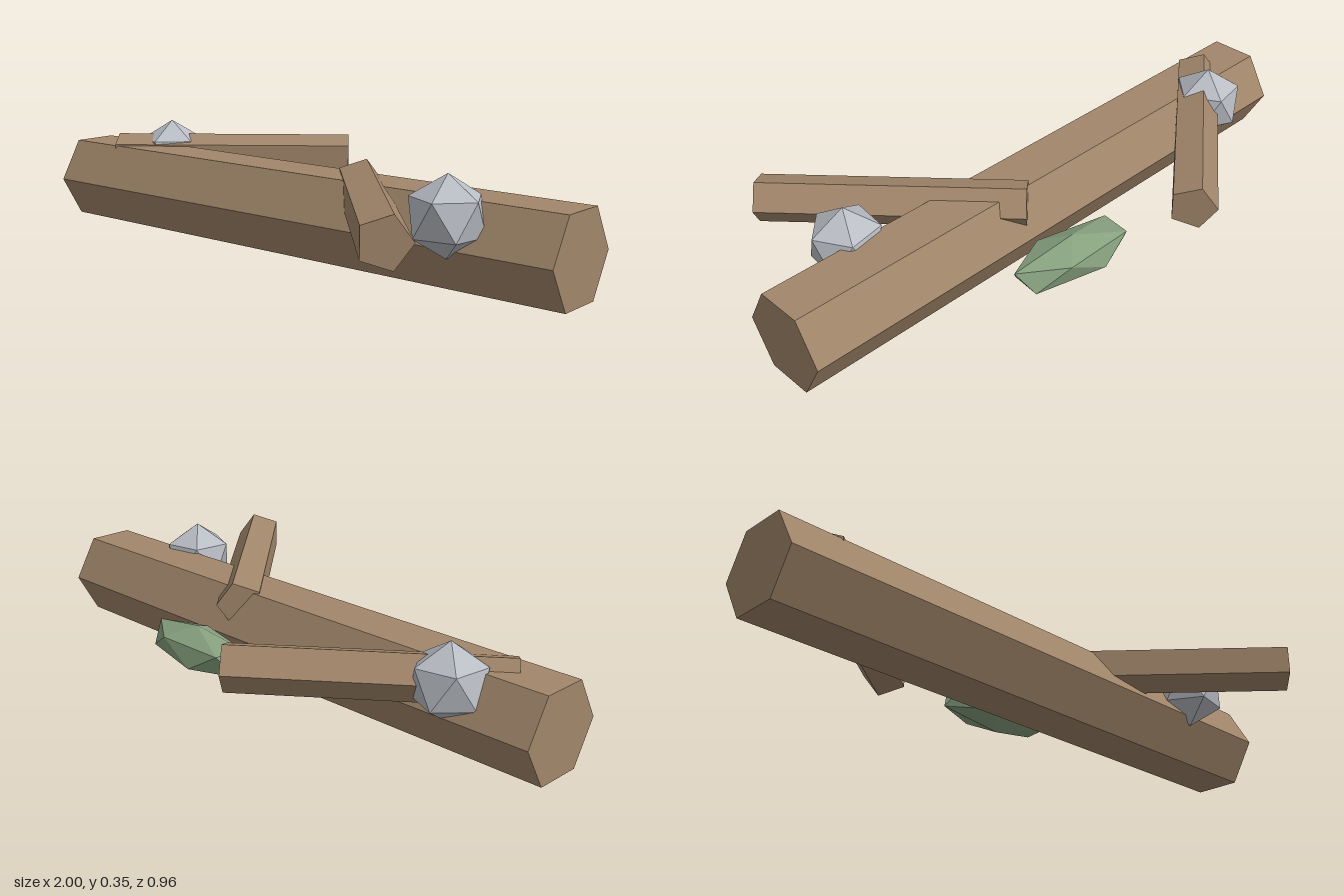
import * as THREE from 'three';
import { ConvexGeometry } from 'three/addons/geometries/ConvexGeometry.js';

export function createModel() {
  const group = new THREE.Group();
  const wood = new THREE.MeshStandardMaterial({ color: 0xa1866a });
  wood.name = 'wood';
  const stone = new THREE.MeshStandardMaterial({ color: 0xb9bdc4 });
  stone.name = 'stone';
  const moss = new THREE.MeshStandardMaterial({ color: 0x86a07e });
  moss.name = 'moss';

  const add = (name, geometry, material, x, y, z) => {
    const mesh = new THREE.Mesh(geometry, material);
    mesh.name = name;
    mesh.position.set(x, y, z);
    group.add(mesh);
    return mesh;
  };

  // Faceted wooden prism lying level, running between two points [x, z]
  const beam = (name, sides, radius, start, y, from, to) => {
    const dx = to[0] - from[0], dz = to[1] - from[1];
    const geometry = new THREE.CylinderGeometry(radius, radius, Math.hypot(dx, dz), sides, 1, false, start)
      .rotateZ(-Math.PI / 2)
      .rotateY(-Math.atan2(dz, dx))
      .toNonIndexed();
    geometry.computeVertexNormals();
    add(name, geometry, wood, (from[0] + to[0]) / 2, y, (from[1] + to[1]) / 2);
  };

  // Icosahedron standing on a corner, stretched along each axis
  const lump = (rx, ry, rz) => {
    const points = [new THREE.Vector3(0, ry, 0), new THREE.Vector3(0, -ry, 0)];
    const h = 1 / Math.sqrt(5);
    for (let i = 0; i < 5; i++) {
      const a = (i * Math.PI * 2) / 5;
      const c = 2 * h * Math.cos(a), s = 2 * h * Math.sin(a);
      points.push(new THREE.Vector3(rx * c, ry * h, rz * s));
      points.push(new THREE.Vector3(-rx * c, -ry * h, -rz * s));
    }
    return new ConvexGeometry(points);
  };

  // Fallen log and two loose branches
  beam('log', 6, 0.153, 0, 0.1325, [-0.981, 0.133], [0.981, -0.101]);
  beam('rightFrontBranch', 5, 0.0765, Math.PI, 0.225, [0.145, -0.107], [0.768, 0.43]);
  beam('leftBackBranch', 5, 0.0765, Math.PI, 0.225, [-0.809, 0.146], [-0.233, -0.433]);

  // Stones resting on the log
  add('rightStone', lump(0.12, 0.12, 0.12), stone, 0.668, 0.225, 0.08);
  add('leftStone', lump(0.12, 0.12, 0.12), stone, -0.702, 0.225, -0.012);

  // Flattened moss clump behind the log
  add('mossClump', lump(0.24, 0.072, 0.096), moss, 0.12, 0.134, -0.288);

  return group;
}
